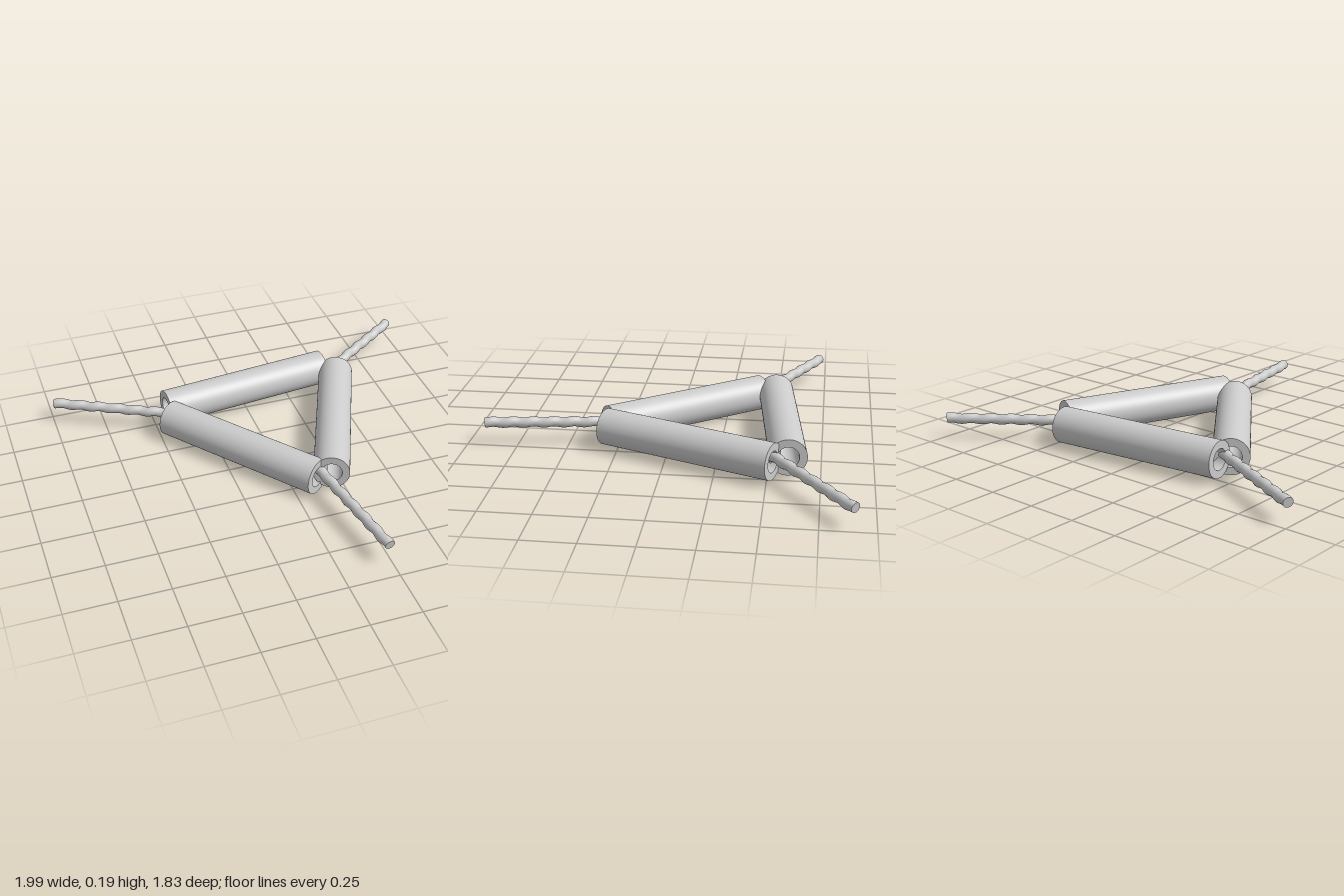
import * as THREE from 'three';

const material = new THREE.MeshStandardMaterial({ color: 0xcccccc });
const UP = new THREE.Vector3(0, 1, 0);
const FORWARD = new THREE.Vector3(0, 0, 1);

// Thick-walled pipe between two end centres
function makePipe(name, a, b) {
  const start = new THREE.Vector3(...a), end = new THREE.Vector3(...b);
  const dir = end.clone().sub(start);
  const outer = 0.09, inner = 0.052;
  const ring = new THREE.Shape().absarc(0, 0, outer, 0, Math.PI * 2);
  ring.holes.push(new THREE.Path().absarc(0, 0, inner, 0, Math.PI * 2, true));
  const geometry = new THREE.ExtrudeGeometry(ring, {
    depth: dir.length(), bevelEnabled: false, curveSegments: 48,
  });
  // Smooth radial normals on the walls, flat ones on the end rings
  const p = geometry.attributes.position, n = geometry.attributes.normal;
  for (let i = 0; i < p.count; i++) {
    if (Math.abs(n.getZ(i)) > 0.5) continue;
    const r = Math.hypot(p.getX(i), p.getY(i));
    const s = r > (outer + inner) / 2 ? 1 / r : -1 / r;
    n.setXYZ(i, p.getX(i) * s, p.getY(i) * s, 0);
  }
  const mesh = new THREE.Mesh(geometry, material);
  mesh.name = name;
  mesh.position.copy(start);
  mesh.quaternion.setFromUnitVectors(FORWARD, dir.normalize());
  return mesh;
}

// Slightly twisted cord with capped ends
function makeCord(name, a, b) {
  const start = new THREE.Vector3(...a), end = new THREE.Vector3(...b);
  const dir = end.clone().sub(start);
  const side = new THREE.Vector3().crossVectors(dir, UP).normalize();
  const turns = dir.length() / 0.1, radius = 0.025, sway = 0.003;
  const points = [];
  for (let i = 0; i <= 72; i++) {
    const t = i / 72, angle = t * turns * Math.PI * 2;
    points.push(start.clone().addScaledVector(dir, t)
      .addScaledVector(side, Math.cos(angle) * sway)
      .addScaledVector(UP, Math.sin(angle) * sway));
  }
  const curve = new THREE.CatmullRomCurve3(points);
  const group = new THREE.Group();
  group.name = name;
  const strand = new THREE.Mesh(new THREE.TubeGeometry(curve, 100, radius, 20), material);
  strand.name = name + 'Strand';
  group.add(strand);
  for (const t of [0, 1]) {
    const cap = new THREE.Mesh(new THREE.CircleGeometry(radius, 20), material);
    cap.name = name + (t ? 'OuterCap' : 'InnerCap');
    cap.position.copy(curve.getPointAt(t));
    cap.quaternion.setFromUnitVectors(FORWARD, curve.getTangentAt(t).multiplyScalar(t ? 1 : -1));
    group.add(cap);
  }
  return group;
}

export function createModel() {
  const model = new THREE.Group();
  model.name = 'pipeTriangle';

  // Three pipes forming the triangle
  model.add(
    makePipe('backPipe', [-0.44, 0.101, -0.495], [0.463, 0.101, -0.597]),
    makePipe('rightPipe', [-0.44, 0.09, -0.413], [0.11, 0.09, 0.307]),
    makePipe('leftPipe', [0.179, 0.102, 0.312], [0.524, 0.102, -0.528]),
  );

  // Cords leading outward from the corners
  model.add(
    makeCord('frontCord', [0.125, 0.108, 0.26], [0.23, 0.113, 0.91]),
    makeCord('rightCord', [-0.4, 0.1, -0.42], [-0.985, 0.105, -0.718]),
    makeCord('leftCord', [0.46, 0.103, -0.525], [0.98, 0.103, -0.9]),
  );
  return model;
}
